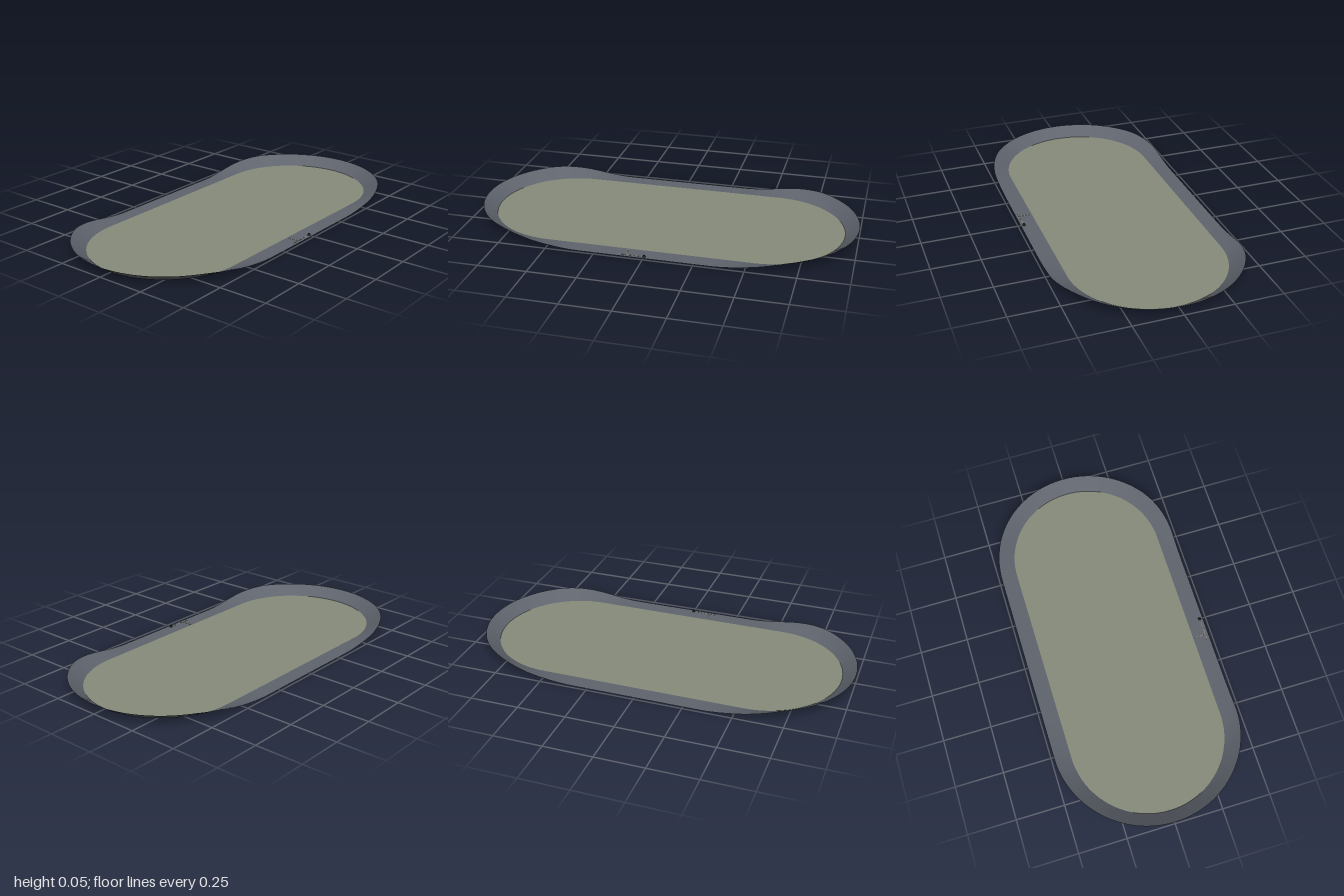
import * as THREE from 'three';

const mat = (name, color) => {
  const m = new THREE.MeshStandardMaterial({ color, side: THREE.DoubleSide });
  m.name = name;
  return m;
};

// Closed stadium outline: two half circles joined by subdivided straights
function outline(cx, r, arcSteps = 48, straightSteps = 32) {
  const pts = [];
  for (const s of [1, -1]) {
    for (let i = 0; i < arcSteps; i++) {
      const a = -Math.PI / 2 + (Math.PI * i) / arcSteps;
      pts.push(new THREE.Vector2(s * (cx + r * Math.cos(a)), s * r * Math.sin(a)));
    }
    for (let i = 0; i < straightSteps; i++) {
      pts.push(new THREE.Vector2(s * cx * (1 - (2 * i) / straightSteps), s * r));
    }
  }
  return pts;
}

// Banking rises smoothly from the flat straights to the ends
const bankHeight = (x) => 0.05 * THREE.MathUtils.smoothstep(Math.abs(x), 0.33, 0.8);

// Sloped strip between the inner and outer outlines
function bankedStrip(inner, outer) {
  const pos = [], idx = [], n = inner.length;
  for (let i = 0; i < n; i++) {
    pos.push(inner[i].x, 0, inner[i].y, outer[i].x, bankHeight(outer[i].x), outer[i].y);
    const a = 2 * i, b = 2 * ((i + 1) % n);
    idx.push(a, b, a + 1, b, b + 1, a + 1);
  }
  const g = new THREE.BufferGeometry();
  g.setAttribute('position', new THREE.Float32BufferAttribute(pos, 3));
  g.setIndex(idx);
  g.computeVertexNormals();
  return g;
}

export function createModel() {
  const group = new THREE.Group();
  const infieldMat = mat('sage green', 0x868c7c);
  const trackMat = mat('slate grey', 0x5f646d);
  const lineMat = mat('pale tan', 0x9a9272);
  const markerMat = mat('dark charcoal', 0x26282b);

  const add = (name, geo, material, x = 0, y = 0, z = 0) => {
    const mesh = new THREE.Mesh(geo, material);
    mesh.name = name;
    mesh.position.set(x, y, z);
    group.add(mesh);
    return mesh;
  };

  const inner = outline(0.53, 0.4);
  const outer = outline(0.515, 0.485);

  // Flat infield and banked track around it
  add('infield', new THREE.ShapeGeometry(new THREE.Shape(inner)).rotateX(-Math.PI / 2), infieldMat);
  add('bankedTrack', bankedStrip(inner, outer), trackMat);

  // Fine line marks and a small marker on the front straight
  add('startLine', new THREE.BoxGeometry(0.003, 0.001, 0.06), lineMat, -0.095, 0.001, 0.44);
  for (const x of [-0.115, -0.075, -0.035]) {
    add('laneDash', new THREE.BoxGeometry(0.025, 0.001, 0.003), lineMat, x, 0.001, 0.468);
  }
  add('marker', new THREE.CylinderGeometry(0.004, 0.008, 0.01, 12), markerMat, 0, 0.005, 0.468);

  return group;
}
